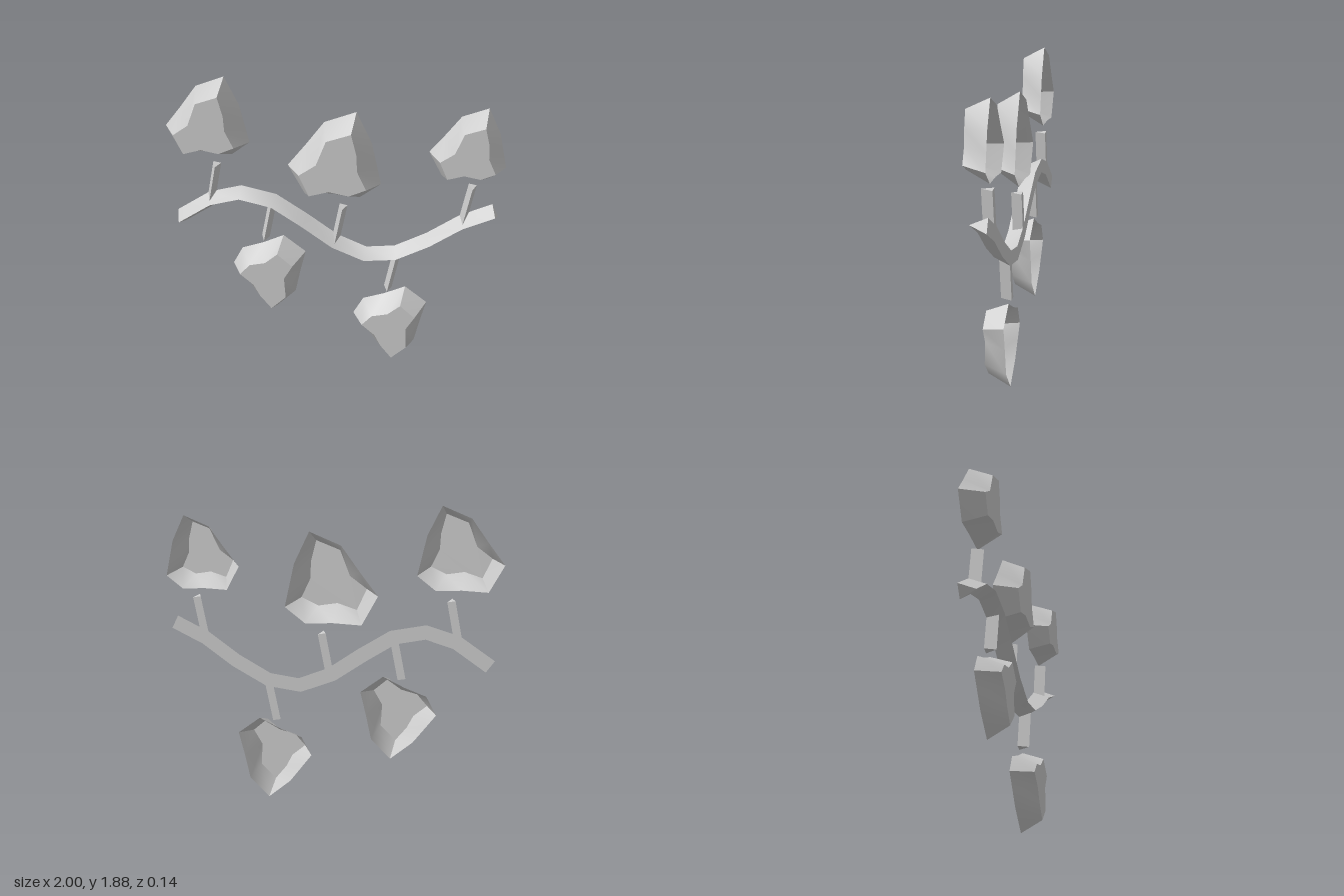
import * as THREE from 'three';

const BACK = -0.068, FRONT = 0.068;

// Leaf outline, relative to its tip: wide open rim at the back, smaller face in front
const RIM = [[0, 0], [0.091, -0.193], [0.123, -0.337], [0.15, -0.46], [0.027, -0.556],
  [-0.139, -0.545], [-0.31, -0.551], [-0.406, -0.369], [-0.299, -0.23], [-0.187, -0.075]];
const FACE = [[-0.016, -0.08], [0.016, -0.209], [0.021, -0.316], [0.075, -0.433], [-0.027, -0.481],
  [-0.144, -0.46], [-0.262, -0.497], [-0.321, -0.364], [-0.219, -0.289], [-0.16, -0.134]];
const CORNERS = [0, 3, 6, 7, 10];

function surface(positions, index) {
  const g = new THREE.BufferGeometry();
  g.setAttribute('position', new THREE.Float32BufferAttribute(positions, 3));
  g.setIndex(index);
  g.computeVertexNormals();
  return g;
}

// Strip between two rows of points, smooth along its length
function strip(rowA, rowB) {
  const pos = [], idx = [];
  rowA.forEach((a, i) => {
    pos.push(...a, ...rowB[i]);
    if (i > 0) {
      const k = 2 * i;
      idx.push(k - 2, k - 1, k + 1, k - 2, k + 1, k);
    }
  });
  return surface(pos, idx);
}

// Triangular bar along a path: flat back, ridge in front
function ridgedBar(path, halfWidth, ridgeZ, material, name) {
  const group = new THREE.Group();
  group.name = name;
  const upper = [], ridge = [], lower = [];
  path.forEach(([x, y], i) => {
    const a = path[Math.max(i - 1, 0)], b = path[Math.min(i + 1, path.length - 1)];
    const d = new THREE.Vector2(b[0] - a[0], b[1] - a[1]).normalize().multiplyScalar(halfWidth);
    upper.push([x - d.y, y + d.x, BACK]);
    ridge.push([x, y, ridgeZ]);
    lower.push([x + d.y, y - d.x, BACK]);
  });
  const n = path.length - 1;
  const parts = {
    upperSide: strip(upper, ridge),
    lowerSide: strip(ridge, lower),
    backSide: strip(lower, upper),
    startCap: surface([...lower[0], ...ridge[0], ...upper[0]], [0, 1, 2]),
    endCap: surface([...upper[n], ...ridge[n], ...lower[n]], [0, 1, 2]),
  };
  for (const [part, geometry] of Object.entries(parts)) {
    const mesh = new THREE.Mesh(geometry, material);
    mesh.name = part;
    group.add(mesh);
  }
  return group;
}

// Hollow leaf: front face and sloping walls, open at the back
function makeLeaf(material) {
  const leaf = new THREE.Group();
  leaf.name = 'leaf';
  const shape = new THREE.Shape(FACE.map(p => new THREE.Vector2(...p)));
  const face = new THREE.Mesh(new THREE.ShapeGeometry(shape), material);
  face.name = 'leafFace';
  face.position.z = FRONT;
  leaf.add(face);
  for (let c = 0; c < CORNERS.length - 1; c++) {
    const rim = [], front = [];
    for (let i = CORNERS[c]; i <= CORNERS[c + 1]; i++) {
      rim.push([...RIM[i % RIM.length], BACK]);
      front.push([...FACE[i % FACE.length], FRONT]);
    }
    // the outline runs clockwise, so front-to-rim order faces outward
    const wall = new THREE.Mesh(strip(front, rim), material);
    wall.name = 'leafWall';
    leaf.add(wall);
  }
  return leaf;
}

export function createModel() {
  const model = new THREE.Group();
  model.name = 'leafyBranch';
  const grey = new THREE.MeshStandardMaterial({ color: 0xcccccc, side: THREE.DoubleSide });
  grey.name = 'grey';

  // Wavy branch
  const path = [[-0.94, 0.946], [-0.74, 1.083], [-0.56, 1.136], [-0.366, 1.094], [-0.182, 0.973],
    [0, 0.842], [0.195, 0.762], [0.388, 0.786], [0.586, 0.896], [0.773, 1.032], [0.96, 1.123]];
  model.add(ridgedBar(path, 0.044, 0.03, grey, 'branch'));

  // Stalks: base, end
  const stalks = [
    [[-0.75, 1.08], [-0.701, 1.329]],
    [[0.012, 0.845], [0.059, 1.094]],
    [[0.772, 1.035], [0.818, 1.286]],
    [[-0.372, 1.085], [-0.422, 0.835]],
    [[0.388, 0.775], [0.34, 0.527]],
  ];
  for (const s of stalks) model.add(ridgedBar(s, 0.024, 0, grey, 'stalk'));

  // Leaves: tip x, tip y, size, turn in degrees
  const leaves = [
    [-0.634, 1.885, 0.894, 0],
    [0.131, 1.709, 1, 0],
    [0.88, 1.778, 0.8, 0],
    [-0.361, 0.318, 0.84, -156],
    [0.398, 0.003, 0.84, -156],
  ];
  for (const [x, y, size, turn] of leaves) {
    const leaf = makeLeaf(grey);
    leaf.position.set(x, y, 0);
    leaf.scale.set(size, size, 1);
    leaf.rotation.z = THREE.MathUtils.degToRad(turn);
    model.add(leaf);
  }
  return model;
}
